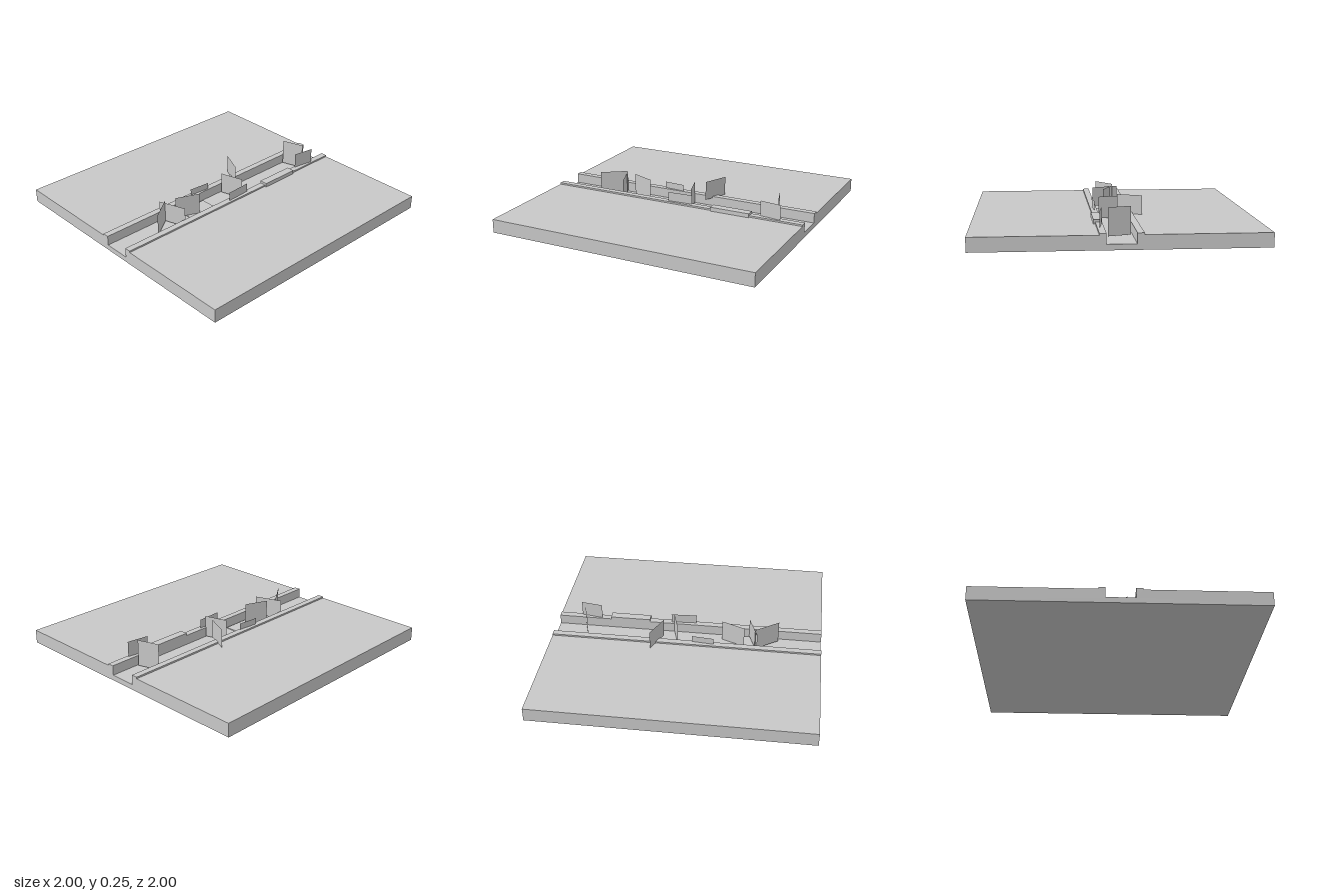
import * as THREE from 'three';

export function createModel() {
  const model = new THREE.Group();
  const stone = new THREE.MeshStandardMaterial({ color: 0xc8c8c8 });
  stone.name = 'paleGrey';
  const card = new THREE.MeshStandardMaterial({ color: 0xc8c8c8, side: THREE.DoubleSide });
  card.name = 'paleGreyCard';

  const add = (name, geometry, material, x = 0, y = 0, z = 0) => {
    const mesh = new THREE.Mesh(geometry, material);
    mesh.name = name;
    mesh.position.set(x, y, z);
    model.add(mesh);
    return mesh;
  };

  // Ground slab with an open channel and raised kerbs, extruded along z
  const profile = new THREE.Shape([
    [-1, 0], [1, 0], [1, 0.1], [0.147, 0.1], [0.147, 0.112], [0.1, 0.112], [0.1, 0.04],
    [-0.1, 0.04], [-0.1, 0.112], [-0.147, 0.112], [-0.147, 0.1], [-1, 0.1],
  ].map(([x, y]) => new THREE.Vector2(x, y)));
  add('groundWithChannel', new THREE.ExtrudeGeometry(profile, { depth: 2, bevelEnabled: false }), stone, 0, 0, -1);

  // Flat patch on the channel floor and a raised block on the kerb
  add('channelPatch', new THREE.BoxGeometry(0.18, 0.006, 0.23), stone, 0, 0.043, 0.235);
  add('kerbBlock', new THREE.BoxGeometry(0.06, 0.03, 0.3), stone, 0.13, 0.115, -0.45);

  // Upright flat cards: name, x and z of both ends, bottom and top height
  const cards = [
    ['crossedCardLong', -0.06, 0.51, 0.06, 0.68, 0.05, 0.22],
    ['crossedCardWide', -0.1, 0.53, 0.1, 0.46, 0.05, 0.2],
    ['slantedChannelCard', -0.04, 0.43, 0.03, 0.26, 0.05, 0.213],
    ['rightKerbCard', -0.125, 0.21, -0.11, 0.05, 0.1, 0.16],
    ['leftKerbCard', 0.13, 0.055, 0.12, -0.135, 0.1, 0.18],
    ['middleChannelCard', -0.08, -0.06, 0.09, -0.11, 0.05, 0.212],
    ['bankCard', -0.215, -0.25, -0.04, -0.17, 0.1, 0.24],
    ['rearKerbCard', 0.11, -0.67, 0.135, -0.83, 0.1, 0.225],
    ['rearChannelCard', -0.085, -0.74, 0.075, -0.79, 0.05, 0.246],
  ];
  for (const [name, x1, z1, x2, z2, bottom, top] of cards) {
    const plane = new THREE.PlaneGeometry(Math.hypot(x2 - x1, z2 - z1), top - bottom);
    const mesh = add(name, plane, card, (x1 + x2) / 2, (top + bottom) / 2, (z1 + z2) / 2);
    mesh.rotation.y = Math.atan2(z1 - z2, x2 - x1);
  }
  return model;
}
